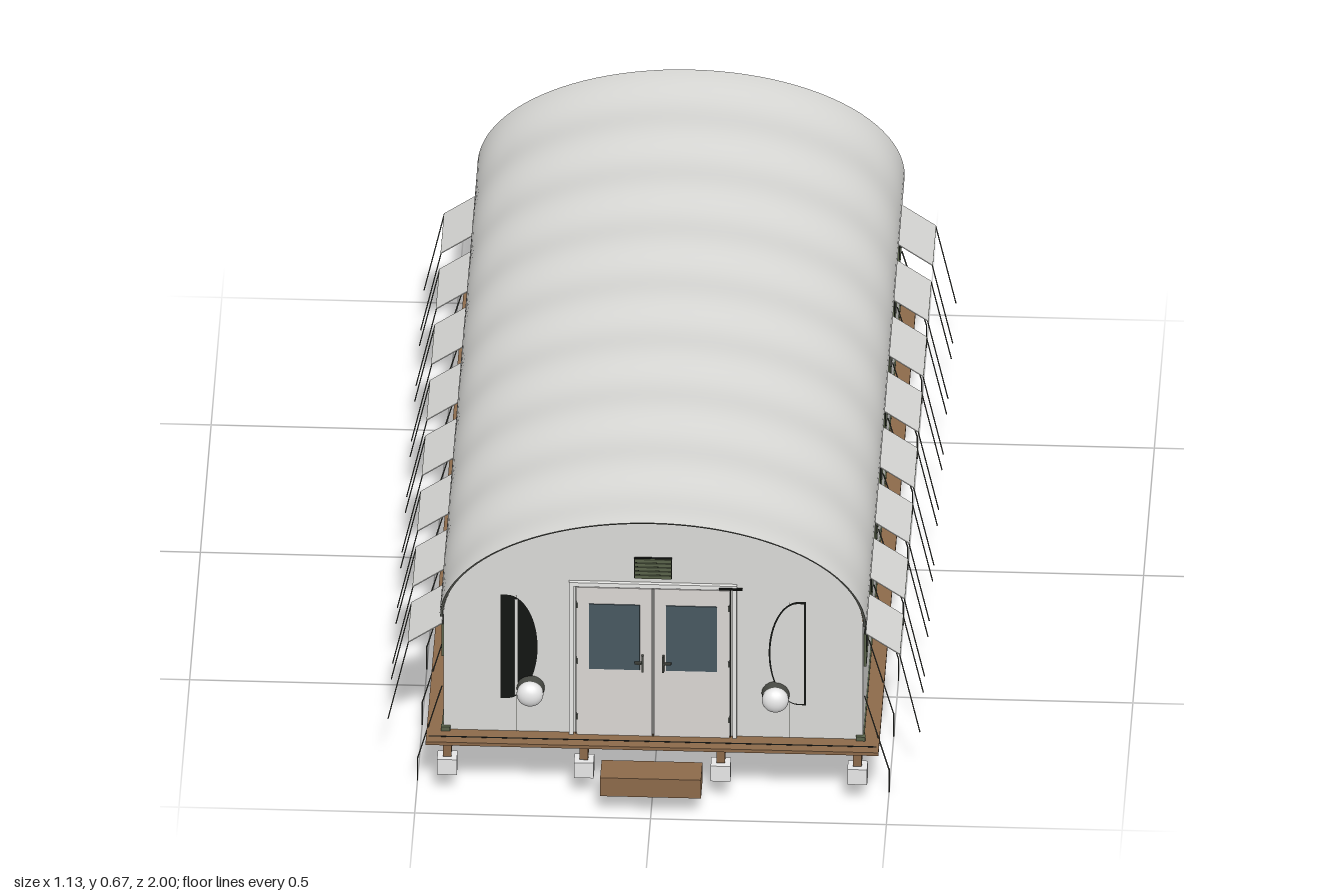
import * as THREE from 'three';

const mat = (name, color, side = THREE.FrontSide) => {
  const m = new THREE.MeshStandardMaterial({ color, side });
  m.name = name;
  return m;
};

export function createModel() {
  const canvas = mat('canvas', 0xdadad7, THREE.DoubleSide);
  const doorGrey = mat('door grey', 0xdad6d3);
  const white = mat('white trim', 0xf6f6f4);
  const glass = mat('glass', 0x475860);
  const black = mat('black', 0x121412, THREE.DoubleSide);
  const olive = mat('olive', 0x59634a);
  const rope = mat('rope', 0x484a44);
  const wood = mat('wood', 0x8c6a4a);
  const concrete = mat('concrete', 0xe6e6e6);

  const PITCH = 0.218, WALL_X = 0.445, WALL_Z = 0.878, EAVE = 0.42, FLOOR = 0.135;
  const model = new THREE.Group();
  model.name = 'frameTent';

  const add = (parent, name, geo, material, x = 0, y = 0, z = 0) => {
    const m = new THREE.Mesh(geo, material);
    m.name = name;
    m.position.set(x, y, z);
    parent.add(m);
    return m;
  };
  const box = (parent, name, material, w, h, d, x, y, z) =>
    add(parent, name, new THREE.BoxGeometry(w, h, d), material, x, y, z);
  // straight round bar between two points
  const rod = (parent, name, material, a, b, r) => {
    const p = new THREE.Vector3(...a), q = new THREE.Vector3(...b);
    const dir = q.clone().sub(p);
    const m = add(parent, name, new THREE.CylinderGeometry(r, r, dir.length(), 6), material);
    m.position.copy(p).add(q).multiplyScalar(0.5);
    m.quaternion.setFromUnitVectors(new THREE.Vector3(0, 1, 0), dir.normalize());
  };
  const group = (name) => {
    const g = new THREE.Group();
    g.name = name;
    model.add(g);
    return g;
  };

  // Deck, beams, footings and steps
  const base = group('base');
  box(base, 'deck', wood, 0.96, 0.008, 1.86, 0, 0.131, 0);
  for (const x of [-0.435, -0.145, 0.145, 0.435]) {
    box(base, 'beam', wood, 0.018, 0.034, 1.84, x, 0.11, 0);
    for (let i = 0; i < 8; i++)
      box(base, 'footing', concrete, 0.042, 0.038, 0.036, x, 0.071, -0.91 + i * 0.26);
  }
  for (const s of [-1, 1]) {
    box(base, 'step', wood, 0.214, 0.046, 0.07, 0, 0.077, s * 0.965);
    box(base, 'deckSeam', black, 0.95, 0.001, 0.004, 0, 0.1348, s * 0.907);
  }

  // Roof skin: half ellipse sagging slightly between the frames
  const roof = new THREE.PlaneGeometry(1, 1.78, 48, 112);
  const p = roof.attributes.position;
  for (let i = 0; i < p.count; i++) {
    const a = Math.PI * (0.5 - p.getX(i)), z = -p.getY(i);
    const sag = 0.0035 * (1 - Math.cos((2 * Math.PI * z) / PITCH)) * Math.min(1, Math.sin(a) * 2);
    p.setXYZ(i, (0.453 - sag) * Math.cos(a), EAVE + (0.254 - sag) * Math.sin(a), z);
  }
  roof.computeVertexNormals();
  add(model, 'roof', roof, canvas);

  // End walls with doors, vent and duct flaps
  const wallShape = new THREE.Shape();
  wallShape.moveTo(-WALL_X, FLOOR);
  wallShape.lineTo(WALL_X, FLOOR);
  wallShape.lineTo(WALL_X, EAVE);
  wallShape.absellipse(0, EAVE, WALL_X, 0.246, 0, Math.PI, false);
  wallShape.closePath();

  const rim = new THREE.Shape();
  rim.absellipse(0, EAVE, 0.4515, 0.2525, 0, Math.PI, false);
  rim.lineTo(-0.446, EAVE);
  rim.absellipse(0, EAVE, 0.446, 0.246, Math.PI, 0, true);
  rim.closePath();

  // D shape, flat edge on the outside at x = 0, bulging towards +x
  const flap = new THREE.Shape();
  flap.moveTo(0, -0.13);
  flap.lineTo(0.014, -0.13);
  flap.absellipse(0.014, 0, 0.065, 0.13, -Math.PI / 2, Math.PI / 2, false);
  flap.lineTo(0, 0.13);
  flap.closePath();
  const flapGeo = new THREE.ShapeGeometry(flap, 24);

  for (const front of [true, false]) {
    const end = group(front ? 'frontEnd' : 'backEnd');
    if (!front) end.rotation.y = Math.PI;
    add(end, 'endWall', new THREE.ShapeGeometry(wallShape, 40), canvas, 0, 0, WALL_Z);
    add(end, 'archRim', new THREE.ExtrudeGeometry(rim, { depth: 0.004, bevelEnabled: false, curveSegments: 40 }),
      rope, 0, 0, WALL_Z);
    box(end, 'doorHeader', white, 0.356, 0.01, 0.01, 0, 0.512, WALL_Z + 0.004);
    box(end, 'doorCloser', black, 0.05, 0.004, 0.006, 0.165, 0.511, WALL_Z + 0.01);

    for (const s of [-1, 1]) {
      box(end, 'doorPost', white, 0.009, 0.38, 0.012, s * 0.173, 0.325, WALL_Z + 0.004);
      box(end, 'doorGap', rope, 0.0015, 0.37, 0.006, s * 0.164, 0.32, WALL_Z + 0.003);
      box(end, 'door', doorGrey, 0.16, 0.37, 0.008, s * 0.082, 0.32, WALL_Z + 0.004);
      box(end, 'doorWindow', glass, 0.108, 0.163, 0.004, s * 0.082, 0.383, WALL_Z + 0.008);
      box(end, 'doorHandle', rope, 0.004, 0.04, 0.008, s * 0.022, 0.32, WALL_Z + 0.012);
      box(end, 'doorLever', rope, 0.016, 0.004, 0.006, s * 0.031, 0.322, WALL_Z + 0.015);
      for (const y of [0.18, 0.32, 0.46])
        box(end, 'hinge', rope, 0.004, 0.014, 0.006, s * 0.161, y, WALL_Z + 0.006);
      box(end, 'wallSeam', rope, 0.001, 0.34, 0.001, s * 0.29, 0.305, WALL_Z + 0.0005);
      box(end, 'cornerFoot', olive, 0.02, 0.01, 0.012, s * 0.44, 0.14, WALL_Z + 0.002);

      // the left-hand duct is open, the right-hand one is closed by a canvas cover
      const duct = new THREE.Group();
      duct.name = 'ductFlap';
      duct.position.set(s * 0.324, 0.348, WALL_Z + 0.002);
      duct.scale.x = -s;
      end.add(duct);
      add(duct, 'ductOpening', flapGeo, black);
      if (s < 0) box(duct, 'flapStrap', canvas, 0.007, 0.24, 0.002, 0.034, 0, 0.002);
      else add(duct, 'flapCover', flapGeo, canvas, 0.004, 0, 0.002).scale.set(0.9, 0.965, 1);

      if (front) {
        const stem = add(end, 'lampStem', new THREE.CylinderGeometry(0.027, 0.03, 0.024, 24), rope,
          s * 0.26, 0.245, WALL_Z + 0.012);
        stem.rotation.x = Math.PI / 2;
        const lamp = add(end, 'lamp', new THREE.SphereGeometry(0.0285, 24, 16), concrete, s * 0.26, 0.245, WALL_Z + 0.026);
        lamp.scale.z = 0.75;
      }
    }
    box(end, 'doorMeetingLine', rope, 0.0015, 0.37, 0.002, 0, 0.32, WALL_Z + 0.008);

    // Louvred vent
    box(end, 'vent', black, 0.08, 0.05, 0.006, 0, 0.555, WALL_Z + 0.003);
    for (let i = 0; i < 5; i++)
      box(end, 'ventSlat', olive, 0.078, 0.008, 0.006, 0, 0.535 + i * 0.01, WALL_Z + 0.006);
  }

  // Long sides: wall, windows with awnings, guy ropes
  for (const s of [1, -1]) {
    const side = group(s > 0 ? 'leftSide' : 'rightSide');
    if (s < 0) side.rotation.y = Math.PI;
    const wall = add(side, 'sideWall', new THREE.PlaneGeometry(2 * WALL_Z, EAVE - FLOOR + 0.01), canvas,
      WALL_X, (EAVE + FLOOR + 0.01) / 2, 0);
    wall.rotation.y = Math.PI / 2;
    box(side, 'baseStrip', olive, 0.003, 0.004, 1.75, WALL_X + 0.0015, 0.142, 0);

    for (let i = 0; i < 8; i++) {
      const z = (i - 3.5) * PITCH;
      box(side, 'window', black, 0.004, 0.068, 0.135, WALL_X + 0.002, 0.335, z);
      box(side, 'windowSill', olive, 0.005, 0.003, 0.146, WALL_X + 0.003, 0.293, z);
      for (const e of [-1, 1])
        box(side, 'windowFrame', olive, 0.005, 0.08, 0.003, WALL_X + 0.003, 0.332, z + e * 0.072);
      box(side, 'windowMullion', canvas, 0.002, 0.068, 0.003, WALL_X + 0.004, 0.335, z);

      // awning panel
      const dx = 0.072, dy = -0.05;
      const awning = box(side, 'awning', canvas, Math.hypot(dx, dy), 0.002, 0.156, WALL_X + 0.004 + dx / 2, 0.352, z);
      awning.rotation.z = Math.atan2(dy, dx);
      box(side, 'awningHem', olive, 0.002, 0.002, 0.157, 0.521, 0.326, z);
      for (const e of [-1, 1]) {
        const ez = z + e * 0.078;
        rod(side, 'awningRope', rope, [0.521, 0.326, ez], [0.564, 0.133, ez], 0.0014);
      }
    }
    // guy ropes and stakes at each frame
    for (let i = -4; i <= 4; i++) {
      const z = i * PITCH;
      rod(side, 'guyRope', rope, [WALL_X + 0.003, 0.24, z], [0.5, 0.056, z], 0.0015);
      rod(side, 'stake', rope, [0.5, 0.058, z], [0.5, 0, z], 0.0016);
    }
  }
  return model;
}
